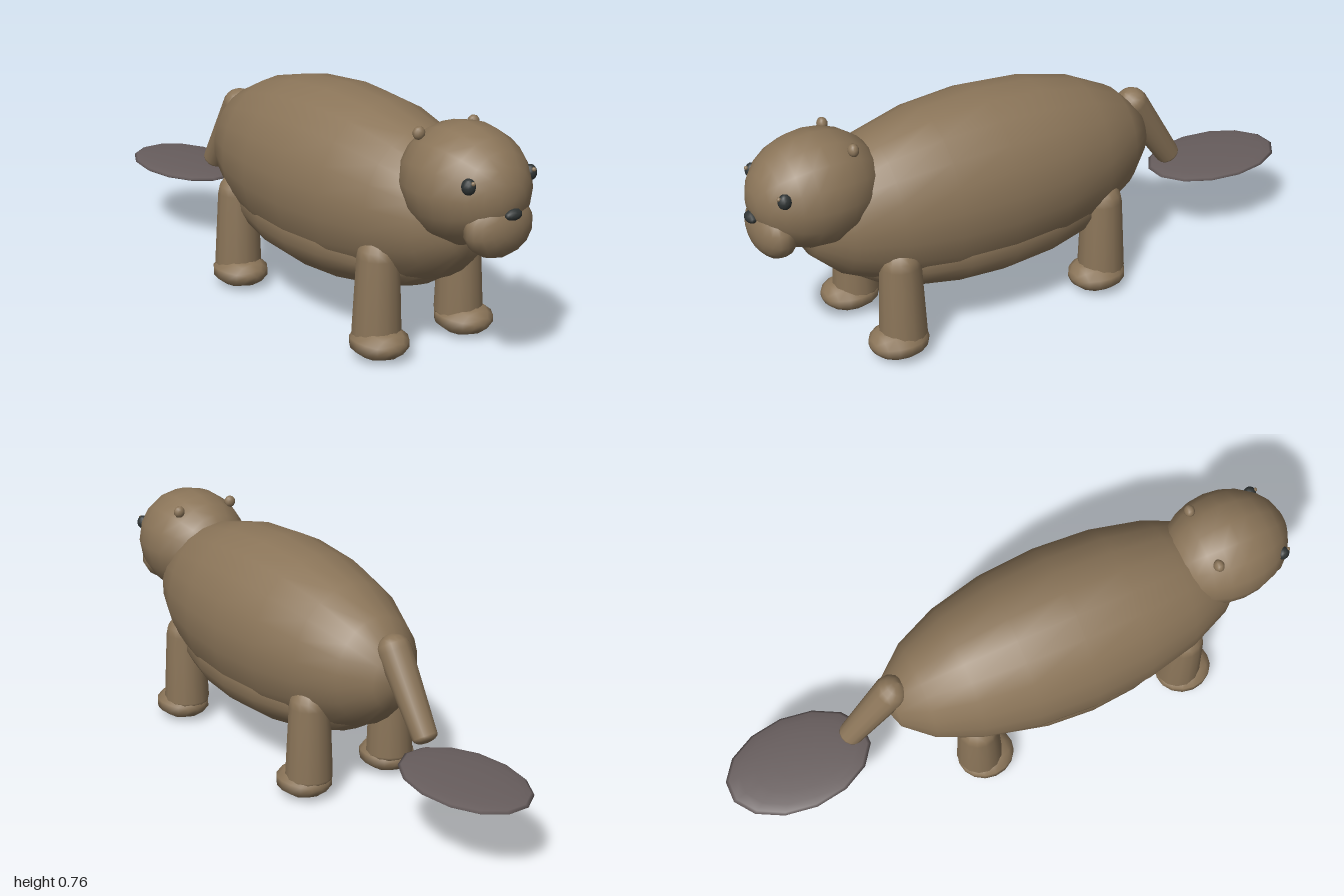
import * as THREE from 'three';

export function createModel() {
  const root = new THREE.Group();
  root.name = 'beaver';

  const mat = (name, color) => {
    const m = new THREE.MeshStandardMaterial({ color });
    m.name = name;
    return m;
  };
  const fur = mat('brown fur', 0x8b7559);
  const dark = mat('dark eyes and nose', 0x2f3434);
  const leather = mat('grey tail leather', 0x675d5d);

  // Low-poly ellipsoid whose pole axis runs along the animal's length (x)
  function ellipsoid(name, material, pos, radii, sides = 14, rings = 10, parent = root) {
    const geo = new THREE.SphereGeometry(1, sides, rings);
    geo.rotateZ(-Math.PI / 2);
    geo.scale(...radii);
    const mesh = new THREE.Mesh(geo, material);
    mesh.name = name;
    mesh.position.set(...pos);
    parent.add(mesh);
    return mesh;
  }

  // Tapered limb between two points, with a rounded cap at each end
  function limb(name, from, to, r0, r1, parent = root) {
    const a = new THREE.Vector3(...from);
    const b = new THREE.Vector3(...to);
    const dir = a.clone().sub(b);
    const len = dir.length();
    const pts = [];
    for (let i = 0; i <= 4; i++) {
      const t = -Math.PI / 2 + (i / 4) * Math.PI / 2;
      pts.push(new THREE.Vector2(Math.max(0, r1 * Math.cos(t)), -len / 2 + r1 * 0.5 * Math.sin(t)));
    }
    for (let i = 0; i <= 4; i++) {
      const t = (i / 4) * Math.PI / 2;
      pts.push(new THREE.Vector2(Math.max(0, r0 * Math.cos(t)), len / 2 + r0 * Math.sin(t)));
    }
    const mesh = new THREE.Mesh(new THREE.LatheGeometry(pts, 14), fur);
    mesh.name = name;
    mesh.position.copy(a).add(b).multiplyScalar(0.5);
    mesh.quaternion.setFromUnitVectors(new THREE.Vector3(0, 1, 0), dir.normalize());
    parent.add(mesh);
  }

  // Trunk
  ellipsoid('body', fur, [0.2, 0.445, 0], [0.64, 0.307, 0.274], 22, 10);
  ellipsoid('belly', fur, [0.2, 0.3, 0], [0.51, 0.16, 0.25], 18, 10);

  // Head
  const head = new THREE.Group();
  head.name = 'head';
  root.add(head);
  ellipsoid('skull', fur, [0.77, 0.573, 0], [0.215, 0.184, 0.181], 16, 12, head);
  ellipsoid('muzzle', fur, [0.918, 0.482, 0], [0.07, 0.097, 0.12], 14, 10, head);
  ellipsoid('nose', dark, [0.98, 0.532, 0], [0.02, 0.018, 0.03], 10, 8, head);
  for (const s of [1, -1]) {
    const side = s > 0 ? 'right' : 'left';
    ellipsoid(side + 'Eye', dark, [0.918, 0.619, s * 0.116], [0.022, 0.025, 0.021], 12, 8, head);
    ellipsoid(side + 'EyeGlint', fur, [0.936, 0.632, s * 0.115], [0.007, 0.007, 0.007], 8, 6, head);
    ellipsoid(side + 'Ear', fur, [0.683, 0.718, s * 0.104], [0.017, 0.021, 0.02], 10, 8, head);
  }

  // Four legs with paws
  for (const [place, x] of [['front', 0.572], ['back', -0.178]]) {
    for (const s of [1, -1]) {
      const leg = new THREE.Group();
      leg.name = place + (s > 0 ? 'Right' : 'Left') + 'Leg';
      root.add(leg);
      limb('shank', [x, 0.317, s * 0.16], [x, 0.075, s * 0.163], 0.067, 0.078, leg);
      ellipsoid('paw', fur, [x + 0.02, 0.052, s * 0.168], [0.098, 0.052, 0.092], 10, 8, leg);
    }
  }

  // Tail stalk and flat paddle
  limb('tailStalk', [-0.405, 0.543, 0], [-0.562, 0.312, 0], 0.055, 0.041);
  const paddleGeo = new THREE.SphereGeometry(1, 14, 10);
  paddleGeo.rotateY(Math.PI / 14);
  paddleGeo.scale(0.249, 0.018, 0.165);
  const paddle = new THREE.Mesh(paddleGeo, leather);
  paddle.name = 'tailPaddle';
  paddle.position.set(-0.755, 0.246, 0);
  root.add(paddle);

  return root;
}
